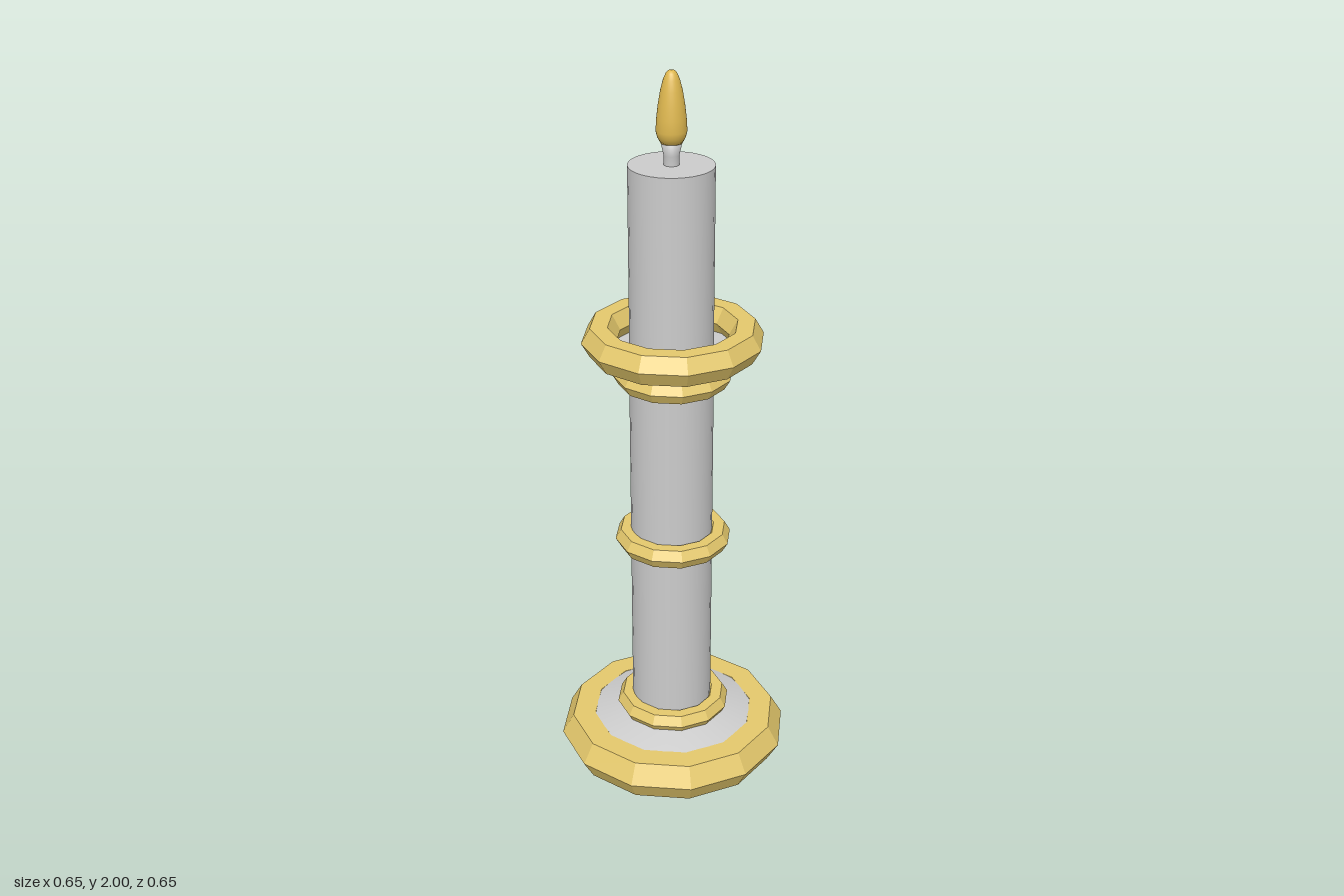
import * as THREE from 'three';

const AXIS_X = -0.006; // the stem and candle sit slightly off the rings' axis

export function createModel() {
  const model = new THREE.Group();
  model.name = 'candlestick';

  const brass = new THREE.MeshStandardMaterial({ color: 0xe4c86c, flatShading: true });
  const flameGold = new THREE.MeshStandardMaterial({ color: 0xe0b950 });
  const grey = new THREE.MeshStandardMaterial({ color: 0xcccccc });
  const greyOpen = new THREE.MeshStandardMaterial({ color: 0xcccccc, side: THREE.DoubleSide });

  const add = (name, geometry, material, x = 0, y = 0) => {
    const mesh = new THREE.Mesh(geometry, material);
    mesh.name = name;
    mesh.position.set(x, y, 0);
    model.add(mesh);
  };

  // Faceted brass ring: hexagonal section swept around twelve sides
  const ring = (name, radius, tube, y) =>
    add(name, new THREE.TorusGeometry(radius, tube, 6, 12).rotateX(Math.PI / 2), brass, 0, y);

  // Upright cylinder given by its bottom and top heights
  const column = (name, radius, y0, y1) =>
    add(name, new THREE.CylinderGeometry(radius, radius, y1 - y0, 32), grey, AXIS_X, (y0 + y1) / 2);

  const lathe = (points) =>
    new THREE.LatheGeometry(points.map(([r, y]) => new THREE.Vector2(r, y)), 32);

  // Brass rings
  ring('baseRing', 0.261, 0.0645, 0.057);
  ring('lowerCollar', 0.13, 0.031, 0.15);
  ring('middleCollar', 0.13, 0.031, 0.695);
  ring('upperCollar', 0.13, 0.031, 1.19);
  ring('drip-panRing', 0.197, 0.047, 1.288);

  // Shallow dome closing the base, and the plate under it
  add('basePlate', lathe([[0, 0.1], [0.23, 0.1], [0.23, 0.111], [0.1, 0.143]]), greyOpen);

  // Flared pan under the upper ring
  add('dripPan', lathe([[0.1, 1.195], [0.125, 1.207], [0.198, 1.247], [0.198, 1.255], [0, 1.255]]), greyOpen);

  // Stem and candle
  column('stem', 0.113, 0.105, 1.25);
  column('candle', 0.112, 1.25, 1.76);

  // Wick holder flaring up to the flame
  add('wick', lathe([[0.02, 1.755], [0.02, 1.785], [0.029, 1.825], [0, 1.825]]), grey, AXIS_X);

  // Flame-shaped bulb
  add('flame', lathe([
    [0, 1.815], [0.028, 1.817], [0.036, 1.832], [0.04, 1.848], [0.038, 1.88], [0.034, 1.915],
    [0.028, 1.95], [0.021, 1.977], [0.014, 1.993], [0.008, 1.999], [0, 2],
  ]), flameGold, AXIS_X);

  return model;
}
